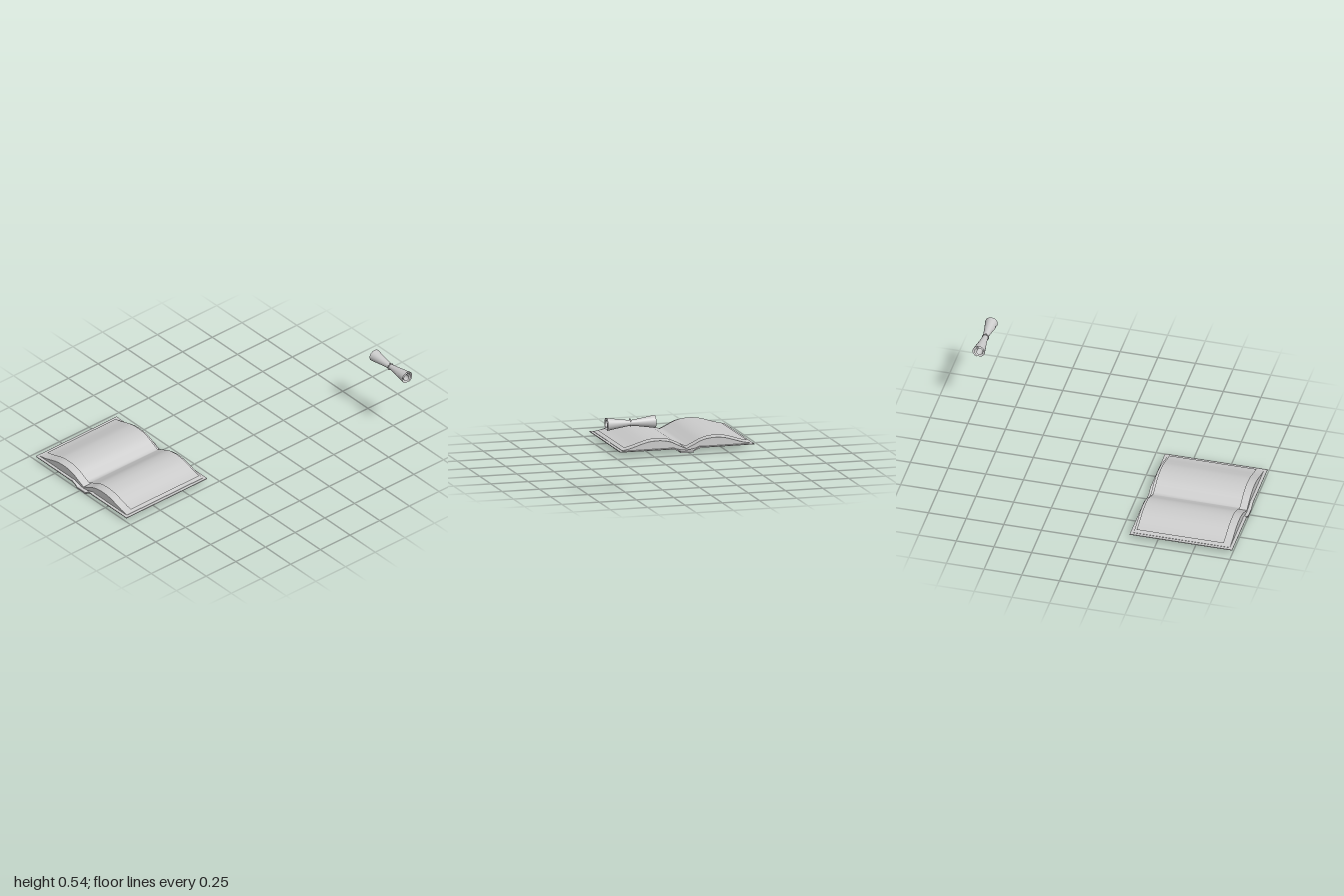
import * as THREE from 'three';
import { toCreasedNormals } from 'three/addons/utils/BufferGeometryUtils.js';

const BOOK_X = -0.24;

// Page height against distance from the gutter
const pageHalf = [[0, 0.024], [0.05, 0.047], [0.1, 0.071], [0.15, 0.083], [0.2, 0.086],
  [0.26, 0.08], [0.32, 0.063], [0.375, 0.046], [0.43, 0.035]];
const pageCurve = new THREE.SplineCurve(pageHalf.map(p => new THREE.Vector2(...p)));
const pagePoints = pageCurve.getPoints(32);

function pageHeight(d) {
  const i = Math.max(1, pagePoints.findIndex(p => p.x >= d));
  const a = pagePoints[i - 1], b = pagePoints[i];
  return THREE.MathUtils.mapLinear(d, a.x, b.x, a.y, b.y);
}

// Mirrors a half outline running outward from the centre
function mirrored(points) {
  return [...points.slice(1).reverse().map(([x, y]) => [-x, y]), ...points];
}

function extrudeOutline(top, bottom, z0, z1) {
  const outline = [...mirrored(top), ...mirrored(bottom).reverse()];
  const shape = new THREE.Shape(outline.map(([x, y]) => new THREE.Vector2(x, y)));
  const geo = new THREE.ExtrudeGeometry(shape, { depth: z1 - z0, bevelEnabled: false });
  geo.translate(BOOK_X, 0, z0);
  return toCreasedNormals(geo, 0.4);
}

// Builds a smooth grid surface from a point function of u and v
function surface(nu, nv, point) {
  const geo = new THREE.PlaneGeometry(1, 1, nu, nv);
  const pos = geo.attributes.position, uv = geo.attributes.uv;
  for (let i = 0; i < pos.count; i++) pos.setXYZ(i, ...point(uv.getX(i), uv.getY(i)));
  geo.computeVertexNormals();
  return geo;
}

export function createModel() {
  const model = new THREE.Group();
  const grey = new THREE.MeshStandardMaterial({ color: 0xcccccc });
  const thin = new THREE.MeshStandardMaterial({ color: 0xcccccc, side: THREE.DoubleSide });
  const add = (parent, name, geo, mat = grey) => {
    const mesh = new THREE.Mesh(geo, mat);
    mesh.name = name;
    parent.add(mesh);
    return mesh;
  };

  // Open book
  const book = new THREE.Group();
  book.name = 'openBook';
  model.add(book);

  // Cover with a sunken spine
  const coverTop = [[0, 0.011], [0.04, 0.011], [0.06, 0.024], [0.088, 0.035], [0.11, 0.033], [0.45, 0.033]];
  const coverBottom = [[0, 0], [0.043, 0], [0.046, 0.009], [0.065, 0.017], [0.09, 0.027], [0.45, 0.028]];
  add(book, 'cover', extrudeOutline(coverTop, coverBottom, 0.32, 1));

  // Arched page blocks
  const pageBottom = [[0, 0.014], [0.04, 0.018], [0.09, 0.033], [0.43, 0.033]];
  add(book, 'pages', extrudeOutline(pagePoints.map(p => [p.x, p.y]), pageBottom, 0.34, 0.98));

  // Loose top sheet following the pages
  add(book, 'topSheet', surface(48, 1, (u, v) => {
    const x = (u - 0.5) * 0.83;
    return [BOOK_X + x, pageHeight(Math.abs(x)) + 0.012, 0.935 - 0.578 * v];
  }), thin);

  // Rolled scroll pinched at the waist
  const scroll = new THREE.Group();
  scroll.name = 'scroll';
  scroll.position.set(0.5275, 0.498, -0.955);
  model.add(scroll);

  const HALF = 0.1625;
  const pinch = x => 0.43 + 0.57 * Math.pow(Math.abs(x) / HALF, 1.15);
  const TURNS = 2.3;
  add(scroll, 'rolledPaper', surface(24, 72, (u, v) => {
    const x = (u - 0.5) * 2 * HALF;
    const r = (0.017 + 0.027 * Math.min(1, v * 1.15)) * pinch(x);
    const a = -2.0 + (v - 1) * TURNS * Math.PI * 2;
    return [x, r * Math.sin(a), r * Math.cos(a)];
  }), thin);

  // Cord around the waist with a small knot
  const cord = add(scroll, 'cord', new THREE.TorusGeometry(0.021, 0.003, 8, 32));
  cord.rotation.y = Math.PI / 2;
  const knot = add(scroll, 'knot', new THREE.SphereGeometry(0.005, 12, 8));
  knot.position.set(0.002, 0.024, 0.004);

  // Small label on the front of the paper
  add(scroll, 'label', surface(4, 4, (u, v) => {
    const x = 0.077 + 0.04 * u, y = -0.003 + 0.025 * v;
    const r = 0.0445 * pinch(x);
    return [x, y, Math.sqrt(r * r - y * y)];
  }), thin);

  return model;
}
